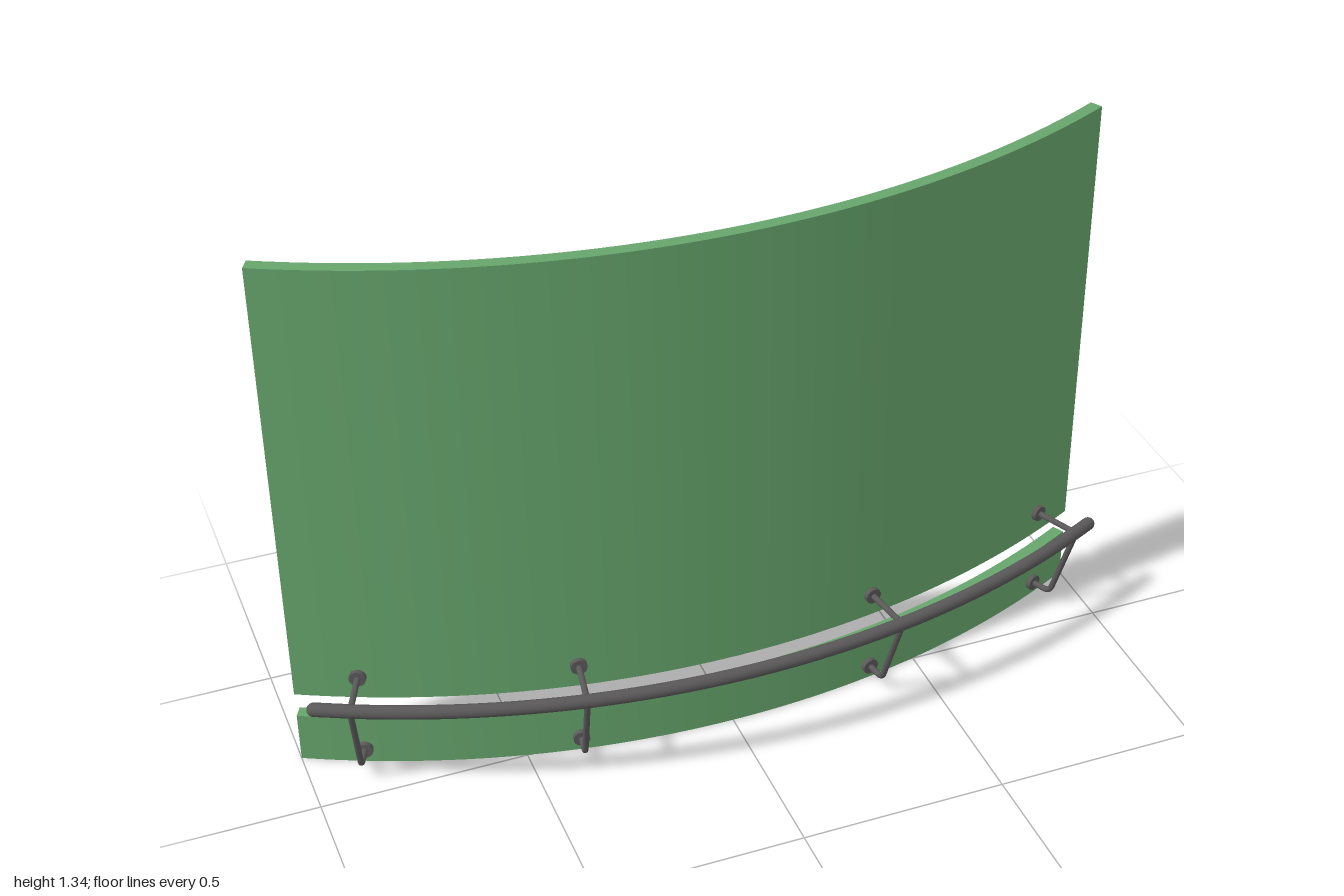
import * as THREE from 'three';
import { toCreasedNormals } from 'three/addons/utils/BufferGeometryUtils.js';

const R = 2.2;              // radius of the curved wall's front face
const WALL_Z = 0.057 - R;   // centre of the wall's arc
const RAIL_Z = 0.193 - R;   // centre of the rail's arc
const RAIL_Y = 0.257;
const THICK = 0.031;

const green = new THREE.MeshStandardMaterial({ color: 0x66a56c });
const dark = new THREE.MeshStandardMaterial({ color: 0x5a5859 });

function addMesh(parent, name, geometry, material) {
  const mesh = new THREE.Mesh(geometry, material);
  mesh.name = name;
  parent.add(mesh);
  return mesh;
}

// Curved slab between two heights
function curvedPanel(y0, y1) {
  const half = Math.asin(1 / R), mid = -Math.PI / 2;
  const shape = new THREE.Shape();
  shape.absarc(0, -WALL_Z, R, mid - half, mid + half, false);
  shape.absarc(0, -WALL_Z, R - THICK, mid + half, mid - half, true);
  const geo = new THREE.ExtrudeGeometry(shape, { depth: y1 - y0, bevelEnabled: false, curveSegments: 48 });
  geo.rotateX(-Math.PI / 2).translate(0, y0, 0);
  return toCreasedNormals(geo, 0.6);
}

// Round mounting plate against the wall
function flange(y) {
  return new THREE.CylinderGeometry(0.02, 0.02, 0.012, 20).rotateX(Math.PI / 2).translate(0, y, 0.006);
}

// Bracket in a local frame: z = 0 is the wall face, +z points out to the rail
function bracket(angle) {
  const g = new THREE.Group();
  g.name = 'railBracket';
  const reach = 0.136 * Math.cos(angle), rod = 0.0075;

  addMesh(g, 'upperFlange', flange(RAIL_Y), dark);
  addMesh(g, 'lowerFlange', flange(0.04), dark);
  const arm = new THREE.CylinderGeometry(rod, rod, reach, 12).rotateX(Math.PI / 2);
  addMesh(g, 'upperArm', arm.translate(0, RAIL_Y, reach / 2), dark);

  // Lower strut: short stub, rounded bend, then a slanted run to the rail
  const path = new THREE.CurvePath();
  const p = (y, z) => new THREE.Vector3(0, y, z);
  path.add(new THREE.LineCurve3(p(0.04, 0), p(0.04, 0.042)));
  path.add(new THREE.QuadraticBezierCurve3(p(0.04, 0.042), p(0.04, 0.06), p(0.058, 0.066)));
  path.add(new THREE.LineCurve3(p(0.058, 0.066), p(RAIL_Y - 0.005, reach)));
  addMesh(g, 'lowerStrut', new THREE.TubeGeometry(path, 40, rod, 12), dark);

  g.position.set(R * Math.sin(angle), 0, WALL_Z + R * Math.cos(angle));
  g.rotation.y = angle;
  return g;
}

export function createModel() {
  const model = new THREE.Group();
  model.name = 'curvedWallWithRail';

  addMesh(model, 'lowerPanel', curvedPanel(0, 0.13), green);
  addMesh(model, 'upperPanel', curvedPanel(0.195, 1.34), green);

  // Curved handrail with rounded ends
  const railRadius = 0.0165, half = Math.asin(0.984 / R);
  const points = [];
  for (let i = 0; i <= 16; i++) {
    const a = -half + (2 * half * i) / 16;
    points.push(new THREE.Vector3(R * Math.sin(a), RAIL_Y, RAIL_Z + R * Math.cos(a)));
  }
  const curve = new THREE.CatmullRomCurve3(points);
  addMesh(model, 'handrail', new THREE.TubeGeometry(curve, 64, railRadius, 16), dark);
  for (const end of [points[0], points[16]]) {
    addMesh(model, 'railEnd', new THREE.SphereGeometry(railRadius, 16, 12), dark).position.copy(end);
  }

  // Four brackets, placed by where they meet the wall
  for (const x of [-0.86, -0.373, 0.367, 0.888]) model.add(bracket(Math.asin(x / R)));

  return model;
}
